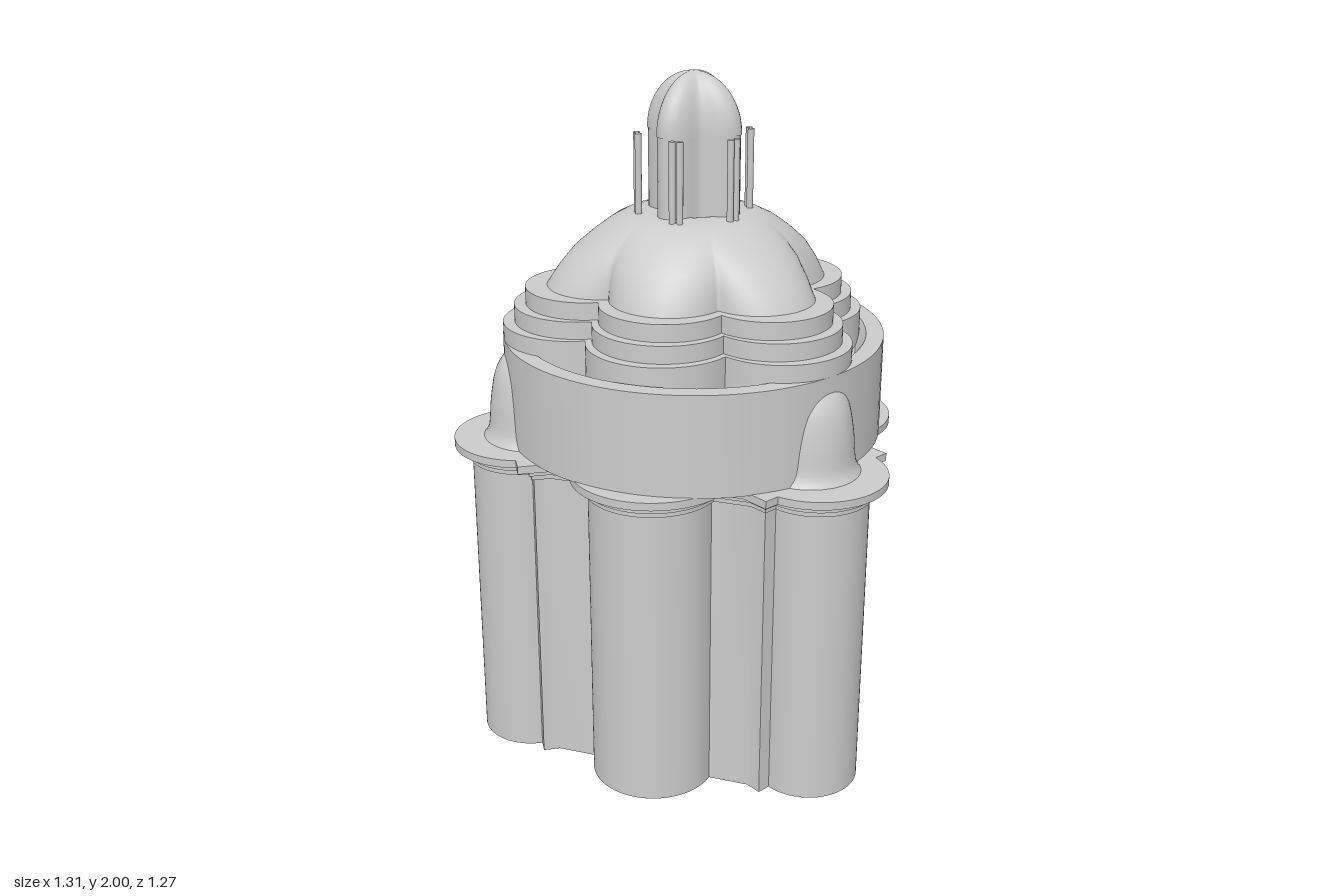
import * as THREE from 'three';
import { toCreasedNormals } from 'three/addons/utils/BufferGeometryUtils.js';

const stone = new THREE.MeshStandardMaterial({ color: 0xcccccc, side: THREE.DoubleSide });
stone.name = 'pale stone';
const TAU = Math.PI * 2, RAD = Math.PI / 180;
const rot = (x, y, a) => [x * Math.cos(a) - y * Math.sin(a), x * Math.sin(a) + y * Math.cos(a)];

// Ground plan offset outward by o: three deep apses and three wide bays joined by stepped corners
function wallPlan(o) {
  const half = [];
  const endA = Math.acos((o - 0.005) / (0.15 + o));
  for (let i = 0; i <= 20; i++) {
    const a = endA * i / 20;
    half.push([0.505 + (0.15 + o) * Math.cos(a), (0.15 + o) * Math.sin(a)]);
  }
  half.push([0.5 + o, 0.19 + o], [0.451 + 0.268 * o, 0.19 + o]);
  const endB = Math.acos((0.02 + o) / (0.18 + o));
  for (let i = 0; i <= 20; i++) {
    const a = -endB * (1 - i / 20);
    half.push(rot(0.37 + (0.18 + o) * Math.cos(a), (0.18 + o) * Math.sin(a), 60 * RAD));
  }
  // mirror about the bay axis, then turn three times
  const mirrored = half.slice(1, -1).reverse().map(([x, y]) => {
    const [u, v] = rot(x, y, -60 * RAD);
    return rot(u, -v, 60 * RAD);
  });
  const sector = [...half, ...mirrored], pts = [];
  for (let k = 0; k < 3; k++) {
    for (const [x, y] of sector) pts.push(new THREE.Vector2(...rot(x, y, Math.PI + k * TAU / 3)));
  }
  return pts;
}

// Radius of the lobed dome plan at an angle: the outermost of a set of circles
const lobes = [];
for (let k = 0; k < 3; k++) {
  const a = Math.PI + k * TAU / 3;
  lobes.push([0.35, 0.2, a], [0.285, 0.21, a + Math.PI / 3]);
  for (const s of [-1, 1]) lobes.push([0.365, 0.035, a + s * 32 * RAD]);
}
function domeRadius(t) {
  let r = 0.3;
  for (const [c, R, a] of lobes) {
    const d = R * R - (c * Math.sin(t - a)) ** 2;
    if (d > 0) r = Math.max(r, c * Math.cos(t - a) + Math.sqrt(d));
  }
  return r;
}
function domePlan(k) {
  return Array.from({ length: 216 }, (_, i) => {
    const t = i / 216 * TAU, r = domeRadius(t) * k;
    return new THREE.Vector2(r * Math.cos(t), r * Math.sin(t));
  });
}

// Upright hollow slab between two heights
function slab(outer, inner, y0, y1) {
  const shape = new THREE.Shape(outer);
  shape.holes.push(new THREE.Path(inner));
  const g = new THREE.ExtrudeGeometry(shape, { depth: y1 - y0, bevelEnabled: false });
  g.rotateX(-Math.PI / 2).translate(0, y0, 0);
  return toCreasedNormals(g, 0.6);
}

// Surface through closed rings; point(row, angle) gives [x, y, z]
function loft(rows, n, point) {
  const pos = [], idx = [];
  for (let j = 0; j < rows; j++) {
    for (let i = 0; i < n; i++) pos.push(...point(j, i / n * TAU));
  }
  for (let j = 0; j < rows - 1; j++) {
    for (let i = 0; i < n; i++) {
      const a = j * n + i, b = j * n + (i + 1) % n;
      idx.push(a, a + n, b, b, a + n, b + n);
    }
  }
  const g = new THREE.BufferGeometry();
  g.setAttribute('position', new THREE.Float32BufferAttribute(pos, 3));
  g.setIndex(idx);
  g.computeVertexNormals();
  return g;
}

export function createModel() {
  const model = new THREE.Group();
  model.name = 'chapel';
  model.position.x = 0.05;
  const add = (name, geo) => {
    const m = new THREE.Mesh(geo, stone);
    m.name = name;
    model.add(m);
    return m;
  };

  // Walls and cornice
  const inner = wallPlan(-0.05);
  add('walls', slab(wallPlan(0), inner, 0, 0.905));
  add('lowerCorniceBand', slab(wallPlan(0.008), inner, 0.905, 0.92));
  add('middleCorniceBand', slab(wallPlan(0.015), inner, 0.92, 0.945));
  add('corniceSlab', slab(wallPlan(0.05), inner, 0.945, 0.968));

  // Slim posts standing inside the corners
  const postGeo = new THREE.BoxGeometry(0.025, 0.93, 0.025);
  for (let k = 0; k < 6; k++) {
    for (const s of [-1, 1]) {
      const a = Math.PI + k * Math.PI / 3;
      const [x, z] = k % 2 ? rot(0.335, s * 0.16, a) : rot(0.43, s * 0.125, a);
      const post = add('innerPost', postGeo);
      post.position.set(x, 0.465, z);
      post.rotation.y = -a;
    }
  }

  // Apse roofs
  const v = (p) => p.map(([x, y]) => new THREE.Vector2(x, y));
  const roofCurve = new THREE.SplineCurve(v([[0.15, 0.966], [0.133, 1.0], [0.125, 1.08],
    [0.11, 1.16], [0.083, 1.21], [0.045, 1.237], [0, 1.245]]));
  const roofGeo = new THREE.LatheGeometry(roofCurve.getPoints(24), 48);
  for (let k = 0; k < 3; k++) {
    const [x, z] = rot(0.47, 0, Math.PI + k * TAU / 3);
    add('apseRoof', roofGeo).position.set(x, 0, z);
  }

  // Drum with raised rim
  const drum = new THREE.LatheGeometry(v([[0.55, 0.966], [0.55, 1.26], [0.5, 1.26],
    [0.47, 1.21], [0.33, 1.2]]), 96);
  add('drum', toCreasedNormals(drum, 0.5));

  // Lobed steps
  const stepHole = domePlan(0.73);
  [1, 0.94, 0.88].forEach((k, i) =>
    add('domeStep', slab(domePlan(k), stepHole, i ? 1.26 + 0.05 * i : 1.2, 1.31 + 0.05 * i)));

  // Dome: lobed at the foot, round at the crown [height, lobe scale, roundness, round radius]
  const rings = [[1.36, 0.8, 0, 0.4], [1.41, 0.77, 0.08, 0.4], [1.46, 0.72, 0.3, 0.365],
    [1.51, 0.66, 0.55, 0.325], [1.55, 0.58, 0.75, 0.28], [1.58, 0.5, 0.9, 0.24],
    [1.6, 0.4, 1, 0.2], [1.61, 0.3, 1, 0.165], [1.612, 0.2, 1, 0.1]];
  add('dome', loft(rings.length, 216, (j, t) => {
    const [y, k, b, c] = rings[j];
    const r = (1 - b) * k * domeRadius(t) + b * c;
    return [r * Math.cos(t), y, -r * Math.sin(t)];
  }));

  // Lantern with hollowed sides and ribbed cap
  const lanternPoint = (t, k, y) => {
    const r = k * (0.088 + 0.052 * Math.sin(2 * t) ** 2);
    return [1.08 * r * Math.cos(t), y, -0.97 * r * Math.sin(t)];
  };
  add('lantern', loft(2, 72, (j, t) => lanternPoint(t, 0.98, j ? 1.84 : 1.6)));
  add('lanternCap', loft(15, 72, (j, t) => {
    const a = j / 14 * Math.PI / 2;
    return lanternPoint(t, Math.cos(a), 1.835 + 0.165 * Math.sin(a));
  }));

  // Paired columns around the lantern
  const columnGeo = new THREE.CylinderGeometry(0.0095, 0.0095, 0.235, 12);
  for (let k = 0; k < 6; k++) {
    for (const s of [-1, 1]) {
      const [x, z] = rot(0.16, s * 0.011, k * Math.PI / 3);
      add('lanternColumn', columnGeo).position.set(x, 1.7175, z);
    }
  }

  const root = new THREE.Group();
  root.name = 'domedChapel';
  root.add(model);
  return root;
}
